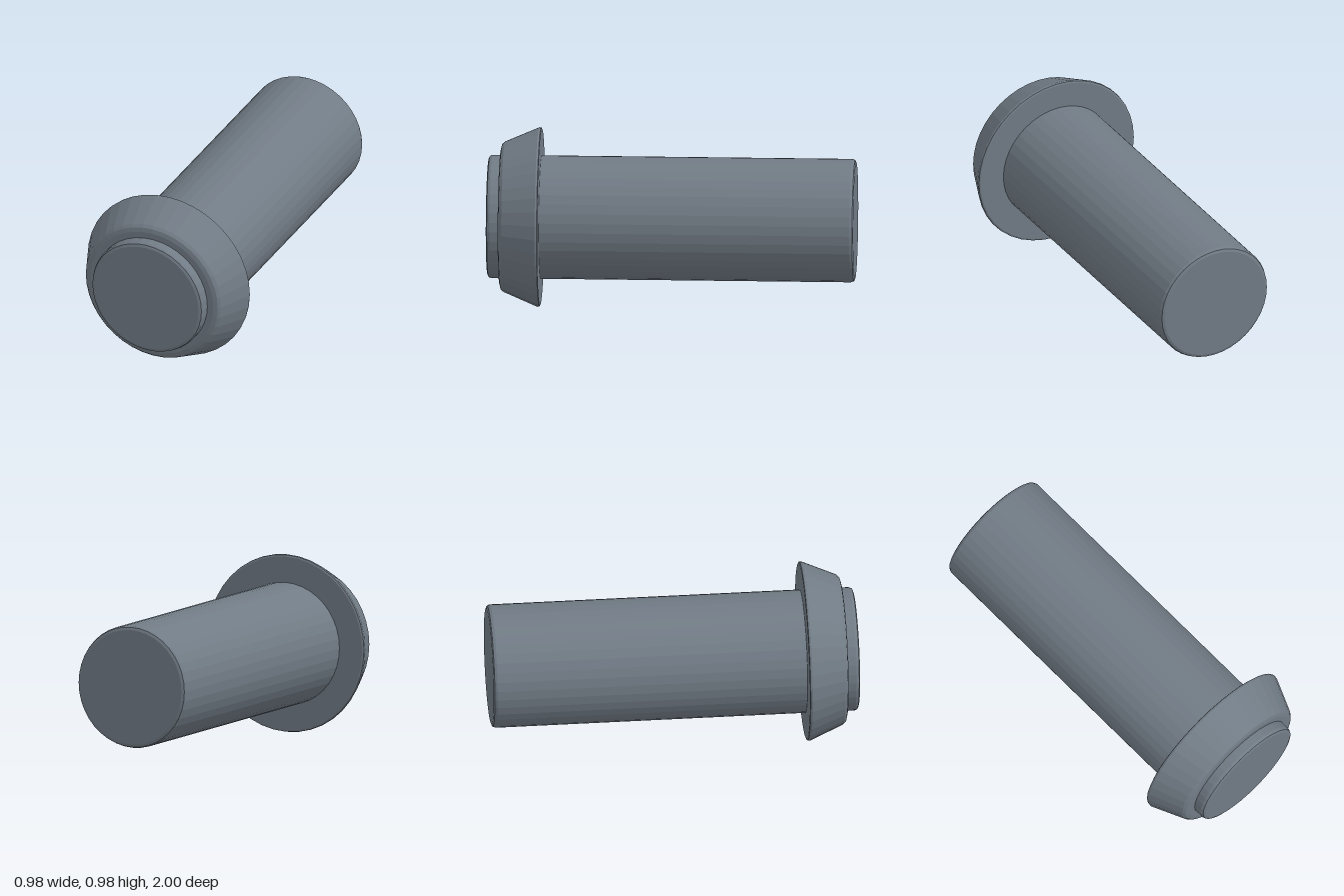
import * as THREE from 'three';

const SIDES = 40;
const AXIS_Y = 0.49;

// Turns a [radius, z] profile (back to front) about the z axis, with flat facets
function turned(name, profile, material) {
  const points = profile.map(([r, z]) => new THREE.Vector2(r, z));
  const geometry = new THREE.LatheGeometry(points, SIDES).rotateX(Math.PI / 2).toNonIndexed();
  geometry.computeVertexNormals();
  const mesh = new THREE.Mesh(geometry, material);
  mesh.name = name;
  mesh.position.y = AXIS_Y;
  return mesh;
}

export function createModel() {
  const steel = new THREE.MeshStandardMaterial({ color: 0x717b85 });
  steel.name = 'grey steel';

  const group = new THREE.Group();
  group.name = 'collaredPin';

  // Long shaft with softly rounded ends
  group.add(turned('shaft', [
    [0, -1], [0.315, -1], [0.33, -0.994], [0.336, -0.979],
    [0.336, 0.979], [0.33, 0.994], [0.315, 1], [0, 1],
  ], steel));

  // Tapered collar, widest at the back
  group.add(turned('collar', [
    [0.32, 0.712], [0.478, 0.712], [0.487, 0.716], [0.489, 0.727],
    [0.41, 0.912], [0.396, 0.927], [0.372, 0.933], [0.32, 0.933],
  ], steel));

  return group;
}
